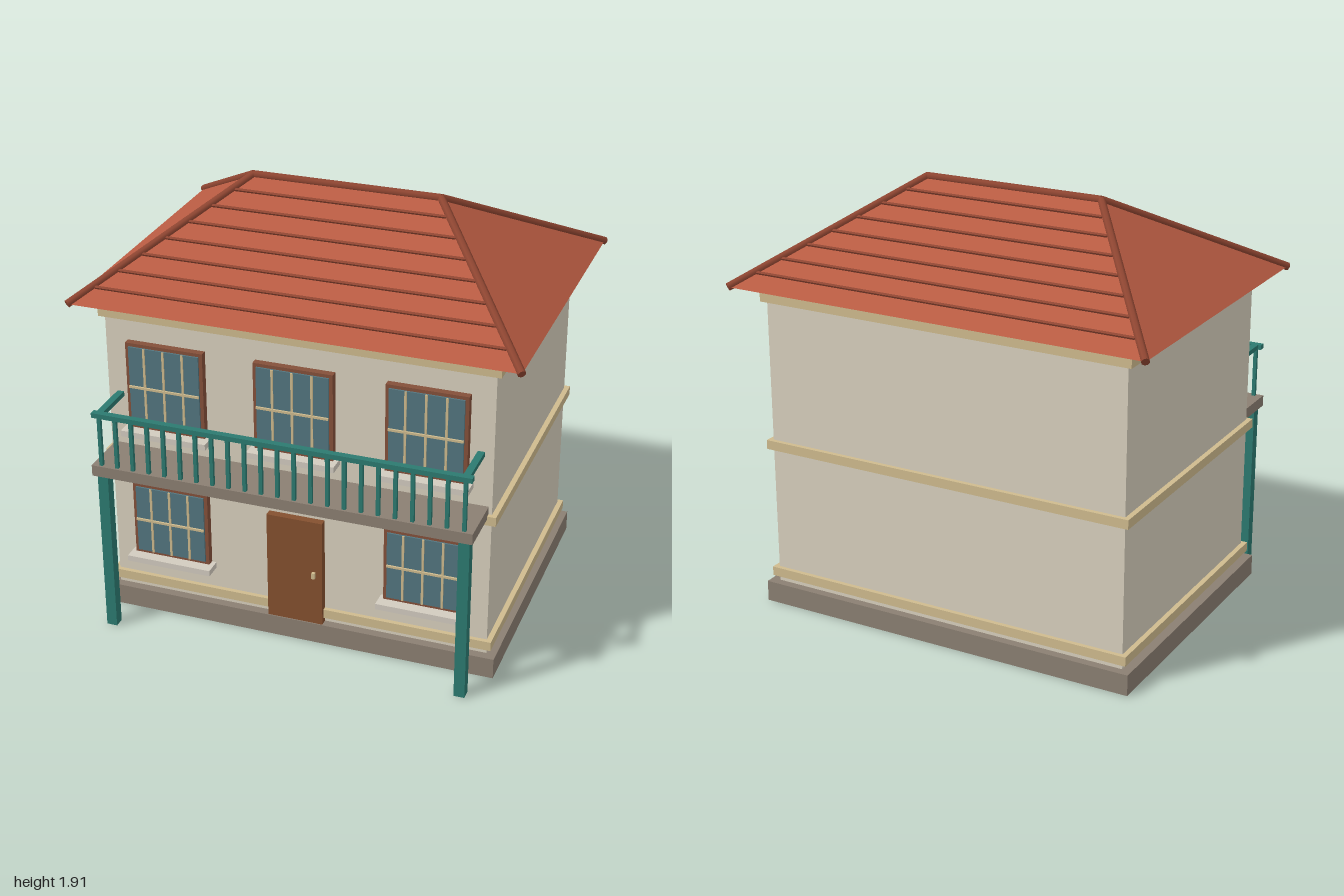
import * as THREE from 'three';

const mat = (name, color) => {
  const m = new THREE.MeshStandardMaterial({ color });
  m.name = name;
  return m;
};

export function createModel() {
  const house = new THREE.Group();
  house.name = 'house';
  const M = {
    wall: mat('cream wall', 0xd8d0bd),
    trim: mat('tan trim', 0xcfbb8e),
    stone: mat('grey stone', 0x8b7f72),
    roof: mat('terracotta roof', 0xb85b42),
    cap: mat('dark roof tile', 0x8e4531),
    wood: mat('brown wood', 0x84502f),
    frame: mat('window frame wood', 0x84503a),
    glass: mat('blue glass', 0x53757f),
    green: mat('green paint', 0x2c7a70),
    sill: mat('pale sill', 0xd2cbbf),
  };

  // Box given by its limits on each axis
  const box = (parent, name, material, [x0, x1], [y0, y1], [z0, z1]) => {
    const mesh = new THREE.Mesh(new THREE.BoxGeometry(x1 - x0, y1 - y0, z1 - z0), material);
    mesh.position.set((x0 + x1) / 2, (y0 + y1) / 2, (z0 + z1) / 2);
    mesh.name = name;
    parent.add(mesh);
    return mesh;
  };
  const group = (name) => {
    const g = new THREE.Group();
    g.name = name;
    house.add(g);
    return g;
  };

  // Plinth, walls and the three bands round the walls
  box(house, 'plinth', M.stone, [-0.905, 0.905], [0, 0.095], [-0.715, 0.605]);
  box(house, 'walls', M.wall, [-0.862, 0.862], [0.095, 1.487], [-0.677, 0.565]);
  for (const y of [0.143, 0.758, 1.44]) {
    box(house, 'wallBand', M.trim, [-0.885, 0.885], [y - 0.021, y + 0.021], [-0.697, 0.585]);
  }

  // Windows
  const addWindow = (x, y0, y1) => {
    const g = group('window');
    const mid = (y0 + y1) / 2;
    box(g, 'windowFrame', M.frame, [x - 0.177, x + 0.177], [y0, y1], [0.56, 0.597]);
    box(g, 'windowGlass', M.glass, [x - 0.161, x + 0.161], [y0 + 0.015, y1 - 0.015], [0.596, 0.605]);
    for (const dx of [-0.088, 0, 0.088]) {
      box(g, 'windowBar', M.trim, [x + dx - 0.005, x + dx + 0.005], [y0 + 0.015, y1 - 0.015], [0.604, 0.61]);
    }
    box(g, 'windowCrossBar', M.trim, [x - 0.161, x + 0.161], [mid - 0.005, mid + 0.005], [0.604, 0.613]);
    box(g, 'windowSill', M.sill, [x - 0.197, x + 0.197], [y0 - 0.029, y0 - 0.002], [0.56, 0.645]);
  };
  for (const x of [-0.582, 0, 0.582]) addWindow(x, 0.92, 1.32);
  for (const x of [-0.582, 0.582]) addWindow(x, 0.29, 0.64);

  // Door
  box(house, 'door', M.wood, [-0.127, 0.127], [0.095, 0.605], [0.56, 0.6]);
  box(house, 'doorHandle', M.trim, [0.082, 0.097], [0.33, 0.358], [0.599, 0.615]);

  // Balcony with posts, rails and balusters
  const balcony = group('balcony');
  box(balcony, 'balconyFloor', M.stone, [-0.847, 0.847], [0.765, 0.815], [0.56, 0.8]);
  box(balcony, 'frontRail', M.green, [-0.837, 0.837], [1.045, 1.067], [0.767, 0.797]);
  for (const s of [-1, 1]) {
    const x = s * 0.807;
    box(balcony, 'sideRail', M.green, [x - 0.015, x + 0.015], [1.045, 1.067], [0.56, 0.77]);
    box(balcony, 'post', M.green, [x - 0.024, x + 0.024], [0, 0.765], [0.735, 0.782]);
  }
  const count = 23;
  for (let i = 0; i < count; i++) {
    const x = -0.807 + (1.614 * i) / (count - 1);
    box(balcony, 'baluster', M.green, [x - 0.008, x + 0.008], [0.815, 1.046], [0.774, 0.79]);
  }

  // Hipped roof: four slopes and a flat underside
  const zc = -0.06, ex = 0.985, ez = 0.725, ey = 1.492, rx = 0.425, ry = 1.888;
  const roof = group('roof');
  const corner = (sx, sz) => [sx * ex, ey, zc + sz * ez];
  const end = (sx) => [sx * rx, ry, zc];
  const fl = corner(1, 1), fr = corner(-1, 1), bl = corner(1, -1), br = corner(-1, -1);
  const quad = (a, b, c, d) => [a, b, c, a, c, d];
  const tris = [
    ...quad(fr, fl, end(1), end(-1)),
    ...quad(bl, br, end(-1), end(1)),
    fl, bl, end(1),
    br, fr, end(-1),
    ...quad(fr, br, bl, fl),
  ];
  const geo = new THREE.BufferGeometry();
  geo.setAttribute('position', new THREE.Float32BufferAttribute(tris.flat(), 3));
  geo.computeVertexNormals();
  const slopes = new THREE.Mesh(geo, M.roof);
  slopes.name = 'roofSlopes';
  roof.add(slopes);

  // Rounded caps along the ridge and hips
  const cap = (name, from, to) => {
    const a = new THREE.Vector3(...from), b = new THREE.Vector3(...to);
    const g = new THREE.CylinderGeometry(0.018, 0.018, a.distanceTo(b), 8);
    const mesh = new THREE.Mesh(g, M.cap);
    mesh.position.copy(a).add(b).multiplyScalar(0.5);
    mesh.quaternion.setFromUnitVectors(new THREE.Vector3(0, 1, 0), b.sub(a).normalize());
    mesh.name = name;
    roof.add(mesh);
  };
  cap('ridgeCap', end(-1), end(1));
  for (const sx of [-1, 1]) for (const sz of [-1, 1]) cap('hipCap', corner(sx, sz), end(sx));

  // Tile courses on the front and back slopes
  const pitch = Math.atan2(ry - ey, ez);
  for (const s of [-1, 1]) {
    for (let i = 1; i < 8; i++) {
      const t = i / 8;
      const w = rx + (ex - rx) * t - 0.02;
      const strip = new THREE.Mesh(new THREE.BoxGeometry(2 * w, 0.012, 0.012), M.cap);
      strip.position.set(0, ry - (ry - ey) * t + 0.003, zc + s * ez * t);
      strip.rotation.x = s * pitch;
      strip.name = 'tileCourse';
      roof.add(strip);
    }
  }
  return house;
}
